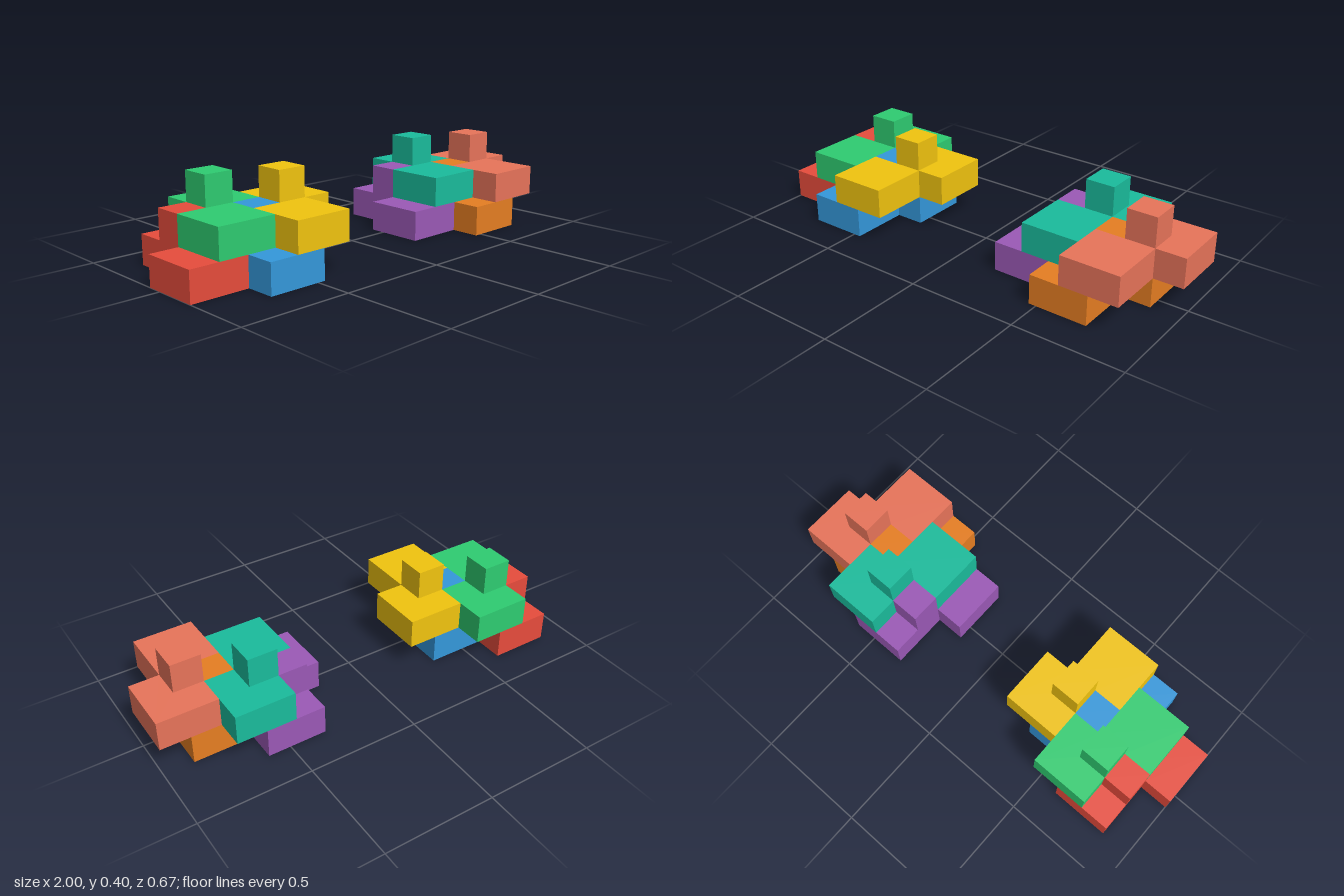
import * as THREE from 'three';

const U = 2 / 15; // edge of one grid cell

// S-shaped slab made of two offset 2x2 blocks, as cell corners (x, z)
const OUTLINE = [[1, 0], [3, 0], [3, 2], [2, 2], [2, 4], [0, 4], [0, 2], [1, 2]];

// One puzzle tile: the slab plus a one-cell peg on top
function makeTile(name, color) {
  const tile = new THREE.Group();
  tile.name = name;
  const material = new THREE.MeshStandardMaterial({ color });

  const shape = new THREE.Shape(OUTLINE.map(([x, z]) => new THREE.Vector2(x * U, z * U)));
  const slabGeometry = new THREE.ExtrudeGeometry(shape, { depth: U, bevelEnabled: false });
  slabGeometry.rotateX(Math.PI / 2).translate(0, U, 0);
  const slab = new THREE.Mesh(slabGeometry, material);
  slab.name = 'slab';

  const peg = new THREE.Mesh(new THREE.BoxGeometry(U, U, U), material);
  peg.name = 'peg';
  peg.position.set(1.5 * U, 1.5 * U, 1.5 * U);

  tile.add(slab, peg);
  return tile;
}

// Cell offsets (x, layer, z) of the four tiles in a stack
const PLACES = [
  ['lowerRightTile', 0, 0, 0],
  ['lowerLeftTile', 2, 0, 1],
  ['upperRightTile', 1, 1, 0],
  ['upperLeftTile', 3, 1, 1],
];

function makeStack(name, colors) {
  const stack = new THREE.Group();
  stack.name = name;
  PLACES.forEach(([tileName, x, y, z], i) => {
    const tile = makeTile(tileName, colors[i]);
    tile.position.set(x * U, y * U, z * U);
    stack.add(tile);
  });
  return stack;
}

export function createModel() {
  const model = new THREE.Group();
  model.name = 'interlockingTiles';

  // Two identical stacks side by side, in different colours
  const rightStack = makeStack('rightStack', [0xe74c3c, 0x3498db, 0x2ecc71, 0xf1c40f]);
  rightStack.position.set(-7.5 * U, 0, -2.5 * U);
  const leftStack = makeStack('leftStack', [0x9b59b6, 0xe67e22, 0x1abc9c, 0xe8745a]);
  leftStack.position.set(1.5 * U, 0, -2.5 * U);

  model.add(rightStack, leftStack);
  return model;
}
